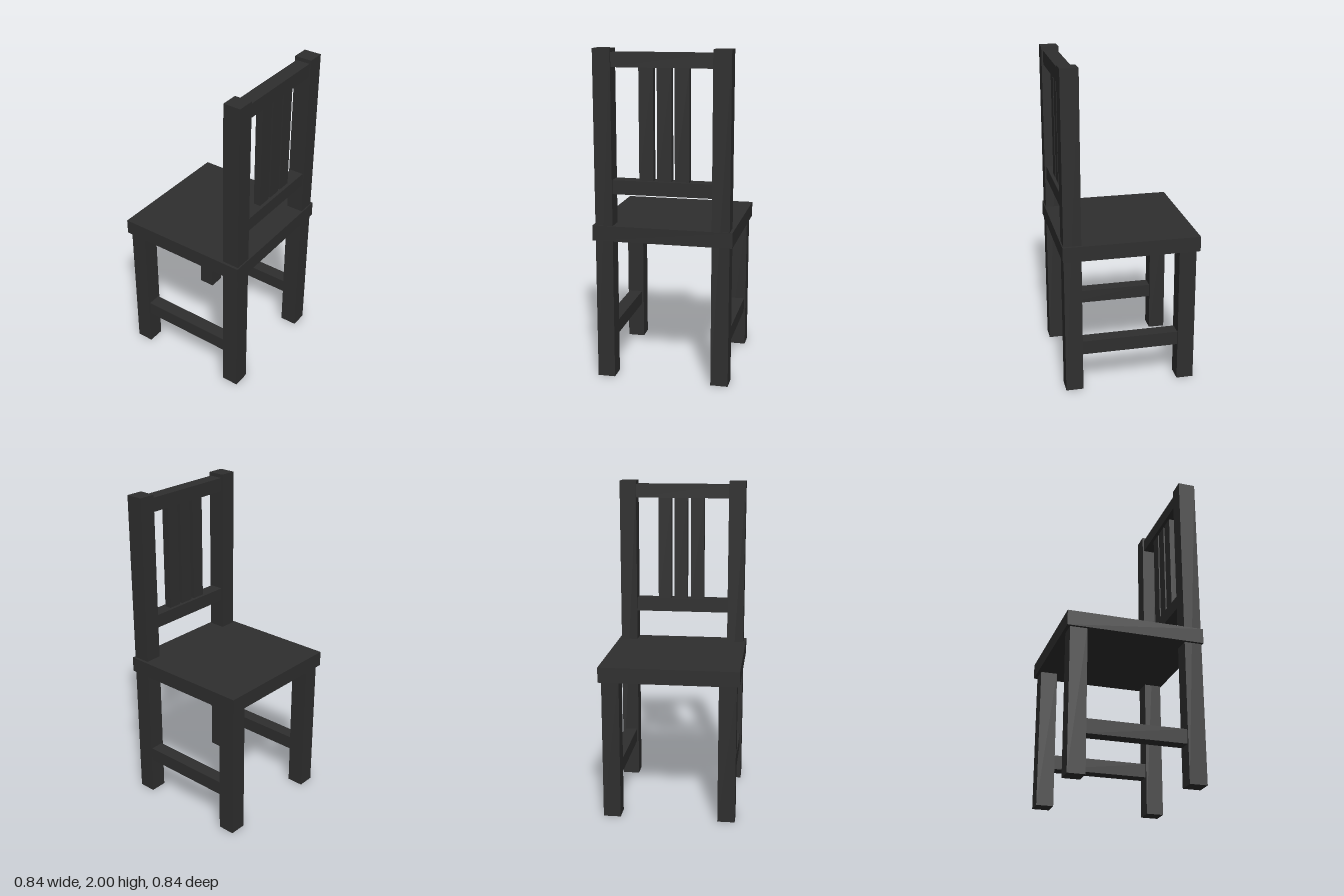
import * as THREE from 'three';

export function createModel() {
  const chair = new THREE.Group();
  chair.name = 'chair';
  const paint = new THREE.MeshStandardMaterial({ color: 0x2e2e2e });

  // Box from its min/max limits on each axis
  function bar(name, [x0, x1], [y0, y1], [z0, z1]) {
    const mesh = new THREE.Mesh(new THREE.BoxGeometry(x1 - x0, y1 - y0, z1 - z0), paint);
    mesh.position.set((x0 + x1) / 2, (y0 + y1) / 2, (z0 + z1) / 2);
    mesh.name = name;
    chair.add(mesh);
  }
  const mirror = ([a, b], side) => (side > 0 ? [a, b] : [-b, -a]);

  // Seat board; the chair faces -x
  bar('seat', [-0.42, 0.418], [0.865, 0.958], [-0.422, 0.422]);

  // Legs, back posts and side stretchers
  for (const side of [1, -1]) {
    const legZ = mirror([0.299, 0.405], side);
    bar('frontLeg', [-0.4, -0.295], [0, 0.88], legZ);
    bar('backPost', [0.304, 0.411], [0, 2], legZ);
    bar('sideStretcher', [-0.3, 0.31], [0.235, 0.322], mirror([0.31, 0.395], side));
  }

  // Backrest rails
  const railX = [0.314, 0.401];
  bar('topRail', railX, [1.893, 1.978], [-0.305, 0.305]);
  bar('lowerRail', railX, [1.151, 1.235], [-0.305, 0.305]);

  // Backrest slats
  for (const z of [0.097, -0.011, -0.116]) {
    bar('slat', [0.335, 0.38], [1.225, 1.9], [z - 0.043, z + 0.043]);
  }
  return chair;
}
